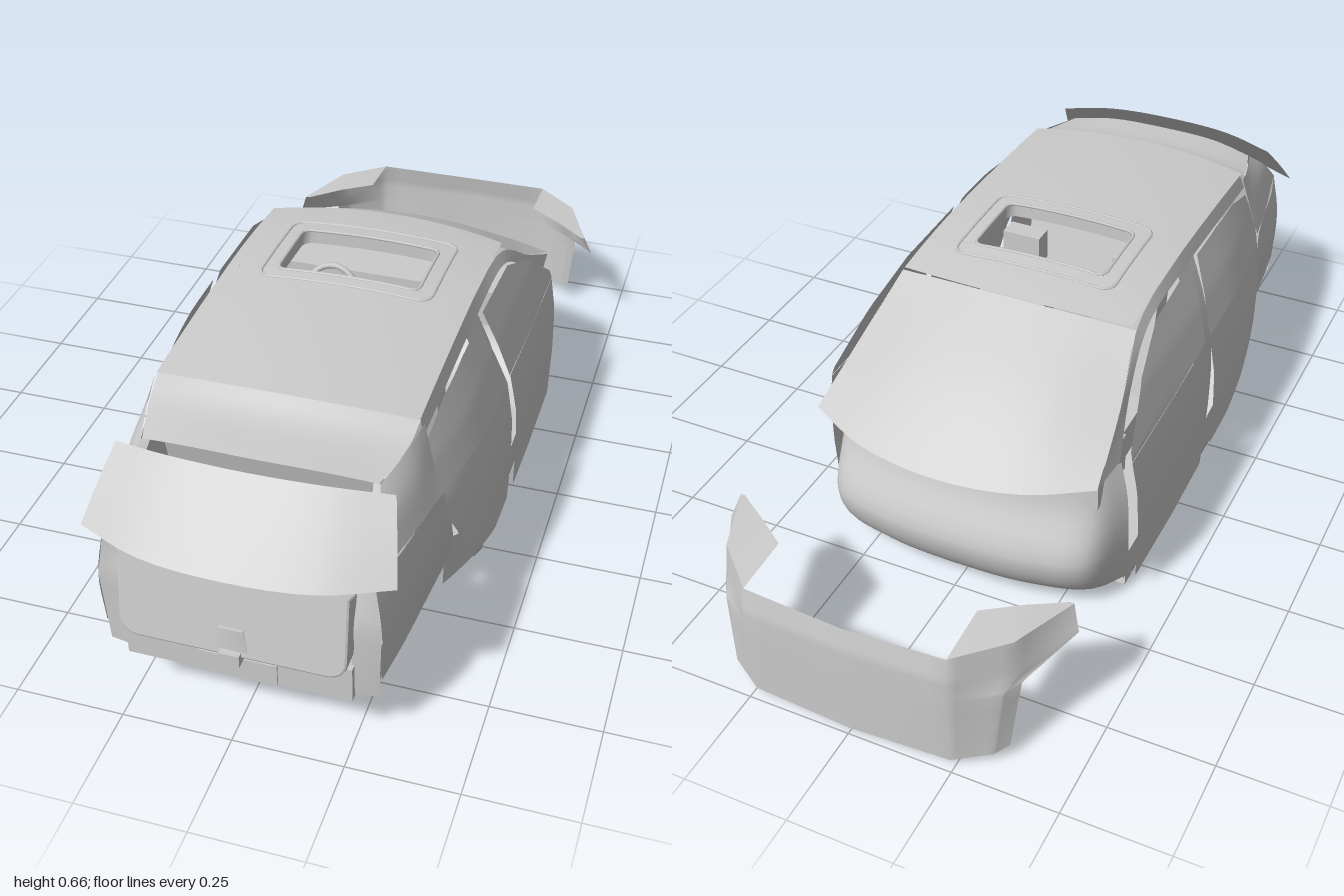
import * as THREE from 'three';

const mat = new THREE.MeshStandardMaterial({ color: 0xcccccc, side: THREE.DoubleSide });
const V = (p) => new THREE.Vector3(...p);

// Sample a path through a few points, either smooth or straight between them
function sample(points, n, smooth) {
  if (smooth && points.length > 2) return new THREE.CatmullRomCurve3(points, false, 'centripetal').getPoints(n);
  return Array.from({ length: n + 1 }, (_, i) => {
    const f = (i / n) * (points.length - 1), k = Math.min(Math.floor(f), points.length - 2);
    return points[k].clone().lerp(points[k + 1], f - k);
  });
}

// Grid surface from rows of points
function grid(rows) {
  const w = rows[0].length, pos = [], idx = [];
  rows.forEach((r) => r.forEach((p) => pos.push(p.x, p.y, p.z)));
  for (let i = 0; i < rows.length - 1; i++) {
    for (let j = 0; j < w - 1; j++) {
      const a = i * w + j, b = a + 1, c = a + w, d = c + 1;
      idx.push(a, c, b, b, c, d);
    }
  }
  const g = new THREE.BufferGeometry();
  g.setAttribute('position', new THREE.Float32BufferAttribute(pos, 3));
  g.setIndex(idx);
  g.computeVertexNormals();
  return g;
}

// Surface skinned over a few cross-section curves
function skin(curves, nu = 16, nv = 10, smooth = true) {
  const across = curves.map((c) => sample(c.map(V), nu, smooth));
  return grid(across[0].map((_, j) => sample(across.map((r) => r[j]), nv, smooth)));
}

// Complete a right half (listed from the centre line outwards)
const both = (half) => [...half.slice(1).reverse().map(([x, y, z]) => [-x, y, z]), ...half];

// Roof height
const roofY = (x, z) => 0.66 - (z < 0.15 ? 0.22 : 0.07) * (z - 0.15) ** 2 - 0.25 * x * x;

// Outer side of the body: x from height and length
function sideX(y, z) {
  const prof = [[0, 0.398], [0.2, 0.403], [0.32, 0.4], [0.42, 0.384], [0.52, 0.354], [0.64, 0.308]];
  let k = 0;
  while (k < prof.length - 2 && y > prof[k + 1][0]) k++;
  const [a, b] = [prof[k], prof[k + 1]];
  const x = a[1] + ((y - a[0]) / (b[0] - a[0])) * (b[1] - a[1]);
  return x - 0.35 * Math.max(0, z - 0.28) ** 2;
}

// Side panel from stations [zBottom, yBottom, zTop, yTop]
function sidePanel(stations, inset = 0, n = 18) {
  const ends = (i) => stations.map((s) => new THREE.Vector3(0, s[i + 1], s[i]));
  const lo = sample(ends(0), n, false), hi = sample(ends(2), n, false);
  return grid(lo.map((p, i) => Array.from({ length: 11 }, (_, j) => {
    const q = p.clone().lerp(hi[i], j / 10);
    q.x = sideX(q.y, q.z) - inset;
    return q;
  })));
}

// Rounded rectangle lying on the roof
function roofLoop(x0, z0, x1, z1, r) {
  const s = new THREE.Path();
  s.absarc(x1 - r, z1 - r, r, 0, Math.PI / 2);
  s.absarc(x0 + r, z1 - r, r, Math.PI / 2, Math.PI);
  s.absarc(x0 + r, z0 + r, r, Math.PI, Math.PI * 1.5);
  s.absarc(x1 - r, z0 + r, r, Math.PI * 1.5, Math.PI * 2);
  s.closePath();
  return s.getSpacedPoints(72).map((p) => new THREE.Vector3(p.x, roofY(p.x, p.y), p.y));
}

export function createModel() {
  const model = new THREE.Group();
  const add = (name, geo, x = 0, y = 0, z = 0, parent = model) => {
    const m = new THREE.Mesh(geo, mat);
    m.name = name;
    m.position.set(x, y, z);
    parent.add(m);
    return m;
  };
  const box = (name, w, h, d, x, y, z) => add(name, new THREE.BoxGeometry(w, h, d), x, y, z);
  const pair = (name, geo) => {
    add(name + 'Left', geo);
    add(name + 'Right', geo.clone().scale(-1, 1, 1).setIndex([...geo.index.array].reverse()));
  };

  // Roof in four patches around the sunroof opening
  const patch = (x0, x1, z0, z1) => grid(Array.from({ length: 13 }, (_, i) => Array.from({ length: 11 }, (_, j) => {
    const x = x0 + ((x1 - x0) * i) / 12;
    let z = z0 + ((z1 - z0) * j) / 10;
    if (z < -0.05) z += 0.35 * x * x * ((-0.05 - z) / 0.13);
    if (z > 0.3) z -= 0.25 * x * x * ((z - 0.3) / 0.32);
    return new THREE.Vector3(x, roofY(x, z), z);
  })));
  add('roofFront', patch(-0.292, 0.292, -0.18, -0.025));
  add('roofRear', patch(-0.292, 0.292, 0.168, 0.62));
  add('roofSideLeft', patch(0.168, 0.292, -0.025, 0.168));
  add('roofSideRight', patch(-0.292, -0.168, -0.025, 0.168));

  // Sunroof: outer seal, inner seal and the wall of the opening
  const outer = roofLoop(-0.205, -0.07, 0.205, 0.205, 0.03), inner = roofLoop(-0.17, -0.027, 0.17, 0.17, 0.02);
  for (const [name, loop] of [['sunroofOuterSeal', outer], ['sunroofInnerSeal', inner]]) {
    add(name, new THREE.TubeGeometry(new THREE.CatmullRomCurve3(loop.slice(0, -1), true), 144, 0.004, 6, true));
  }
  add('sunroofWall', grid([inner, inner.map((p) => new THREE.Vector3(p.x, p.y - 0.035, p.z))]));

  // Header sloping down behind the roof
  add('rearHeader', skin([
    both([[0, 0.642, 0.61], [0.15, 0.636, 0.604], [0.292, 0.62, 0.59]]),
    both([[0, 0.612, 0.67], [0.15, 0.608, 0.665], [0.285, 0.597, 0.655]]),
    both([[0, 0.6, 0.79], [0.15, 0.597, 0.785], [0.255, 0.582, 0.77]])]));

  // Windscreen
  add('windscreen', skin([
    both([[0, 0.634, -0.18], [0.16, 0.627, -0.17], [0.3, 0.607, -0.145]]),
    both([[0, 0.532, -0.37], [0.18, 0.525, -0.355], [0.33, 0.507, -0.3]]),
    both([[0, 0.393, -0.575], [0.2, 0.4, -0.55], [0.352, 0.412, -0.48]])]));

  // Detached rear glass
  add('rearGlass', skin([
    both([[0, 0.605, 0.84], [0.17, 0.602, 0.83], [0.3, 0.588, 0.8]]),
    both([[0, 0.528, 0.921], [0.18, 0.527, 0.907], [0.32, 0.52, 0.862]]),
    both([[0, 0.452, 0.998], [0.19, 0.452, 0.98], [0.337, 0.452, 0.92]])]));

  // Bulging bulkhead curving under into the floor
  const wall = (y, z, w, zSide) => both([[0, y, z], [w * 0.5, y, z + 0.012],
    [w * 0.86, y, z + 0.055], [w, y, zSide]]);
  add('bulkhead', skin([wall(0.385, -0.46, 0.352, -0.34), wall(0.29, -0.475, 0.37, -0.34),
    wall(0.17, -0.525, 0.376, -0.34), wall(0.09, -0.505, 0.374, -0.33),
    wall(0.03, -0.45, 0.37, -0.32), wall(0.004, -0.37, 0.368, -0.27), wall(0.003, -0.3, 0.368, -0.24)], 36, 24));

  // Floor pan, ramping up and narrowing between the rear wheel arches
  const pan = (z, y, w, side) => both([[0, y, z], [w * 0.5, y, z], [w, y, z], [w, y + side, z]]);
  add('floorPan', skin([pan(-0.33, 0.005, 0.368, 0.08), pan(-0.02, 0.009, 0.368, 0.08), pan(0.27, 0.014, 0.368, 0.07),
    pan(0.34, 0.05, 0.366, 0.06), pan(0.4, 0.08, 0.325, 0.06), pan(0.47, 0.11, 0.3, 0.06),
    pan(0.58, 0.136, 0.285, 0.06)], 36, 24, false));

  // Doors, windows, pillars and rails
  pair('frontDoor', sidePanel([[-0.345, 0.06, -0.36, 0.41], [-0.1, 0.06, -0.1, 0.415], [0.085, 0.075, 0.115, 0.425]]));
  pair('frontWindow', sidePanel([[-0.36, 0.412, -0.355, 0.435], [-0.25, 0.414, -0.22, 0.54],
    [-0.1, 0.416, -0.08, 0.602], [0.118, 0.427, 0.155, 0.615]]));
  pair('rearDoor', sidePanel([[0.155, 0.09, 0.145, 0.425], [0.28, 0.1, 0.3, 0.43],
    [0.4, 0.145, 0.45, 0.435], [0.52, 0.235, 0.635, 0.45]]));
  pair('rearWindow', sidePanel([[0.145, 0.425, 0.2, 0.615], [0.3, 0.43, 0.34, 0.615],
    [0.45, 0.435, 0.48, 0.6], [0.635, 0.45, 0.615, 0.555]]));
  pair('centrePillar', sidePanel([[0.05, 0.07, 0.13, 0.62], [0.19, 0.07, 0.23, 0.62]], 0.028));
  pair('sill', sidePanel([[-0.34, 0.03, -0.34, 0.1], [-0.05, 0.03, -0.05, 0.1], [0.02, 0.015, 0.02, 0.1],
    [0.27, 0.02, 0.27, 0.13], [0.42, 0.095, 0.42, 0.2], [0.56, 0.15, 0.56, 0.28]], 0.032));
  pair('roofRail', skin([
    [[0.352, 0.412, -0.47], [0.33, 0.505, -0.3], [0.298, 0.608, -0.13], [0.291, 0.636, 0.15], [0.29, 0.624, 0.59]],
    [[0.356, 0.405, -0.36], [0.328, 0.51, -0.24], [0.31, 0.59, -0.1], [0.304, 0.6, 0.15], [0.301, 0.585, 0.6]]], 24, 4));

  // Rear quarter: lower panel, upper pillar and corner returns
  pair('quarterPanel', skin([
    [[0.348, 0.2, 0.49], [0.332, 0.19, 0.65], [0.32, 0.19, 0.8], [0.306, 0.19, 0.915]],
    [[0.358, 0.33, 0.56], [0.342, 0.33, 0.7], [0.327, 0.33, 0.82], [0.308, 0.33, 0.925]],
    [[0.35, 0.455, 0.61], [0.334, 0.455, 0.7], [0.315, 0.455, 0.82], [0.29, 0.455, 0.915]]]));
  pair('rearPillar', skin([
    [[0.348, 0.455, 0.6], [0.334, 0.455, 0.7], [0.29, 0.455, 0.915]],
    [[0.322, 0.53, 0.6], [0.312, 0.53, 0.69], [0.28, 0.525, 0.84]],
    [[0.3, 0.612, 0.59], [0.287, 0.598, 0.66], [0.258, 0.58, 0.77]]]));
  pair('rearCorner', skin([
    [[0.3, 0.14, 0.915], [0.308, 0.33, 0.925], [0.29, 0.455, 0.915]],
    [[0.24, 0.14, 0.925], [0.248, 0.33, 0.925], [0.255, 0.455, 0.9]]], 10, 4, false));
  pair('pillarReturn', skin([
    [[0.29, 0.455, 0.915], [0.28, 0.525, 0.84], [0.258, 0.58, 0.77]],
    [[0.255, 0.455, 0.895], [0.25, 0.52, 0.82], [0.24, 0.582, 0.755]]], 10, 3));

  // Boot floor and lower rear panel
  box('bootFloor', 0.57, 0.08, 0.34, 0, 0.178, 0.745);
  box('lowerRearPanel', 0.5, 0.09, 0.03, 0, 0.18, 0.925);
  box('plateMount', 0.175, 0.055, 0.006, 0, 0.163, 0.941);

  // Tailgate with rounded lower corners, leaning slightly forward at the top
  const gate = new THREE.Shape();
  gate.moveTo(-0.265, 0.45).lineTo(-0.243, 0.42).lineTo(-0.243, 0.27)
    .quadraticCurveTo(-0.243, 0.23, -0.2, 0.23).lineTo(0.2, 0.23)
    .quadraticCurveTo(0.243, 0.23, 0.243, 0.27).lineTo(0.243, 0.42).lineTo(0.265, 0.45).closePath();
  const tailgate = new THREE.ExtrudeGeometry(gate, {
    depth: 0.04, bevelThickness: 0.008, bevelSize: 0.006, bevelSegments: 2, curveSegments: 8 });
  const gp = tailgate.attributes.position;
  for (let i = 0; i < gp.count; i++) gp.setZ(i, gp.getZ(i) - 0.14 * (gp.getY(i) - 0.23));
  tailgate.computeVertexNormals();
  add('tailgate', tailgate, 0, 0, 0.926);

  // Tapered latch housing with the latch below
  add('latchHousing', new THREE.CylinderGeometry(0.038, 0.052, 0.055, 4, 1, false, Math.PI / 4)
    .scale(1, 1, 0.2), 0, 0.27, 0.966);
  box('latch', 0.045, 0.03, 0.03, 0, 0.226, 0.972);

  // Detached bumper shell with swept-back wings
  add('bumper', skin([
    both([[0, 0.02, -0.998], [0.24, 0.02, -0.985], [0.32, 0.03, -0.94], [0.345, 0.04, -0.91]]),
    both([[0, 0.2, -1], [0.24, 0.2, -0.99], [0.335, 0.2, -0.925], [0.362, 0.215, -0.885]]),
    both([[0, 0.26, -1], [0.24, 0.26, -0.99], [0.35, 0.24, -0.895], [0.43, 0.265, -0.75]]),
    both([[0, 0.315, -0.99], [0.24, 0.32, -0.98], [0.345, 0.325, -0.885], [0.41, 0.322, -0.73]])], 36, 15, false));
  pair('bumperWingTop', skin([
    [[0.24, 0.32, -0.98], [0.345, 0.325, -0.885], [0.41, 0.322, -0.73]],
    [[0.24, 0.33, -0.84], [0.32, 0.33, -0.785], [0.4, 0.322, -0.73]]], 12, 3, false));

  // Cabin: seats, console, dashboard and steering wheel
  for (const s of [-1, 1]) {
    box('seatBase', 0.18, 0.09, 0.24, s * 0.15, 0.17, 0.02);
    box('seatBack', 0.17, 0.3, 0.07, s * 0.15, 0.33, 0.17).rotation.x = 0.25;
    box('headrest', 0.1, 0.08, 0.05, s * 0.15, 0.51, 0.22);
  }
  box('centreConsole', 0.08, 0.16, 0.4, 0, 0.14, -0.03);
  box('rearBench', 0.56, 0.1, 0.2, 0, 0.22, 0.45);
  box('rearBenchBack', 0.56, 0.24, 0.06, 0, 0.36, 0.56).rotation.x = 0.25;
  box('dashboard', 0.66, 0.1, 0.16, 0, 0.35, -0.34);
  const wheel = add('steeringWheel', new THREE.TorusGeometry(0.065, 0.008, 8, 28), -0.16, 0.37, -0.2);
  wheel.rotation.x = -0.4;
  add('steeringHub', new THREE.BoxGeometry(0.12, 0.02, 0.015), 0, 0, 0, wheel);

  return model;
}
